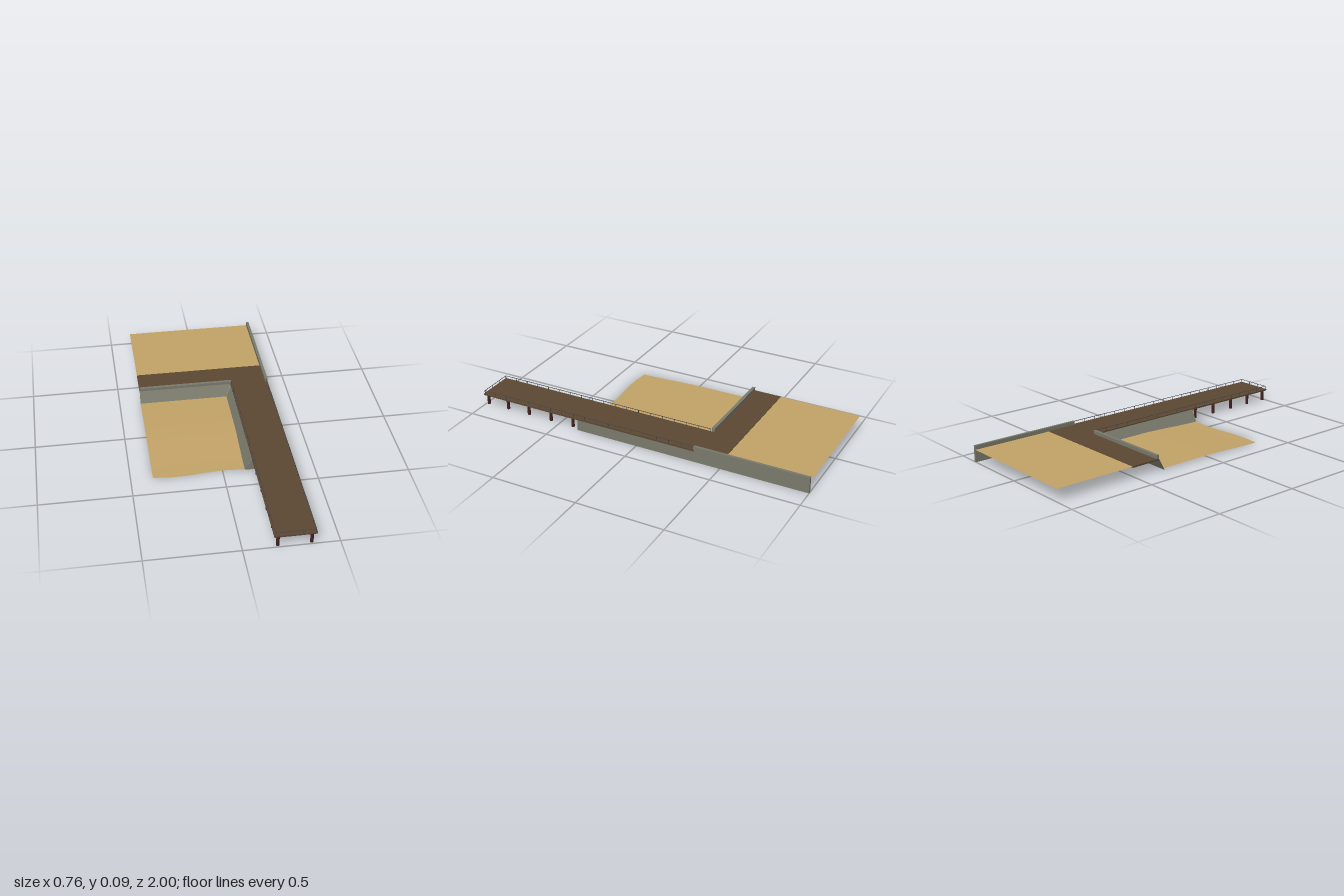
import * as THREE from 'three';

const mat = (name, color, side = THREE.FrontSide) => {
  const m = new THREE.MeshStandardMaterial({ color, side });
  m.name = name;
  return m;
};

export function createModel() {
  const model = new THREE.Group();
  model.name = 'seafrontPier';
  const sand = mat('sand', 0xc4a468, THREE.DoubleSide);
  const concrete = mat('concrete', 0x7a7a6d, THREE.DoubleSide);
  const planks = mat('planks', 0x5c4833);
  const timber = mat('pileTimber', 0x432020);
  const iron = mat('railIron', 0x45454a);

  const add = (name, geometry, material, parent = model) => {
    const mesh = new THREE.Mesh(geometry, material);
    mesh.name = name;
    parent.add(mesh);
    return mesh;
  };
  // Box given by its minimum and maximum corners
  const box = (name, a, b, material, parent) => {
    const g = new THREE.BoxGeometry(b[0] - a[0], b[1] - a[1], b[2] - a[2]);
    g.translate((a[0] + b[0]) / 2, (a[1] + b[1]) / 2, (a[2] + b[2]) / 2);
    return add(name, g, material, parent);
  };
  // Flat four-sided panel, corners anticlockwise from its front
  const panel = (name, corners, material) => {
    const g = new THREE.BufferGeometry();
    g.setAttribute('position', new THREE.Float32BufferAttribute(corners.flat(), 3));
    g.setIndex([0, 1, 2, 0, 2, 3]);
    g.computeVertexNormals();
    return add(name, g, material);
  };

  const W = 0.38, deckY = 0.072, under = 0.063;

  // Upper beach, promenade and pier deck
  panel('upperSand', [[-W, 0.07, -0.525], [0.366, 0.07, -0.525], [0.366, 0.07, -1], [-W, 0.07, -1]], sand);
  box('promenade', [-W, under, -0.525], [0.16, deckY, -0.352], planks);
  box('promenadeCorner', [0.16, under, -0.525], [0.366, deckY, -0.35], planks);
  box('pierDeck', [0.16, under, -0.35], [W, deckY, 1], planks);

  // Lower beach: level near the wall, falling to a wavy water's edge
  const beach = new THREE.PlaneGeometry(1, 1, 16, 16).rotateX(-Math.PI / 2);
  const p = beach.attributes.position;
  for (let i = 0; i < p.count; i++) {
    const u = p.getX(i) + 0.5, v = p.getZ(i) + 0.5;
    const edge = 0.367 + 0.008 * Math.cos((u - 0.27) * 6.3);
    const z = -0.315 + v * (edge + 0.315);
    const fall = THREE.MathUtils.smoothstep(z, -0.05, 0.37);
    const y = 0.012 * (1 - fall);
    p.setXYZ(i, -W + u * (W + 0.122 + y * 0.6), y, z);
  }
  beach.computeVertexNormals();
  add('lowerSand', beach, sand);

  // Sloping sea walls, mitred at the inner corner
  panel('seaWallSlope', [[-W, 0, -0.31], [0.122, 0, -0.31], [0.16, 0.075, -0.35], [-W, 0.075, -0.35]], concrete);
  panel('sideWallSlope', [[0.122, 0, -0.31], [0.122, 0, 0.37], [0.16, 0.066, 0.37], [0.16, 0.066, -0.346]], concrete);
  box('seaWallParapet', [-W, 0.071, -0.363], [0.16, 0.089, -0.35], concrete);
  box('seaWallCoping', [-W, 0.088, -0.366], [0.162, 0.093, -0.348], concrete);

  // Outer wall and the end wall beneath the deck
  box('outerWallHigh', [0.365, 0, -1], [W, 0.093, -0.345], concrete);
  box('outerWallLow', [0.365, 0, -0.345], [W, under, 0.37], concrete);
  panel('endWall', [[0.122, 0, 0.37], [W, 0, 0.37], [W, under, 0.37], [0.159, under, 0.37]], concrete);

  // Pairs of piles
  const piles = new THREE.Group();
  piles.name = 'piles';
  model.add(piles);
  const pileGeometry = new THREE.CylinderGeometry(0.009, 0.009, under, 12);
  for (const z of [0.985, 0.85, 0.708, 0.56, 0.415]) {
    for (const x of [0.181, 0.355]) add('pile', pileGeometry, timber, piles).position.set(x, under / 2, z);
  }

  // Railing around three sides of the pier
  const railing = new THREE.Group();
  railing.name = 'railing';
  model.add(railing);
  const r = 0.0012, top = 0.09;
  const post = (x, z) => box('railPost', [x - r, deckY, z - r], [x + r, top, z + r], iron, railing);
  for (const x of [0.166, 0.374]) {
    box('sideRail', [x - r, top - r, -0.345], [x + r, top + r, 0.996], iron, railing);
    for (let i = 0; i <= 18; i++) post(x, 0.995 - i * 0.0744);
  }
  box('endRail', [0.166, top - r, 0.994], [0.374, top + r, 0.996], iron, railing);
  for (const x of [0.235, 0.305]) post(x, 0.995);

  return model;
}
